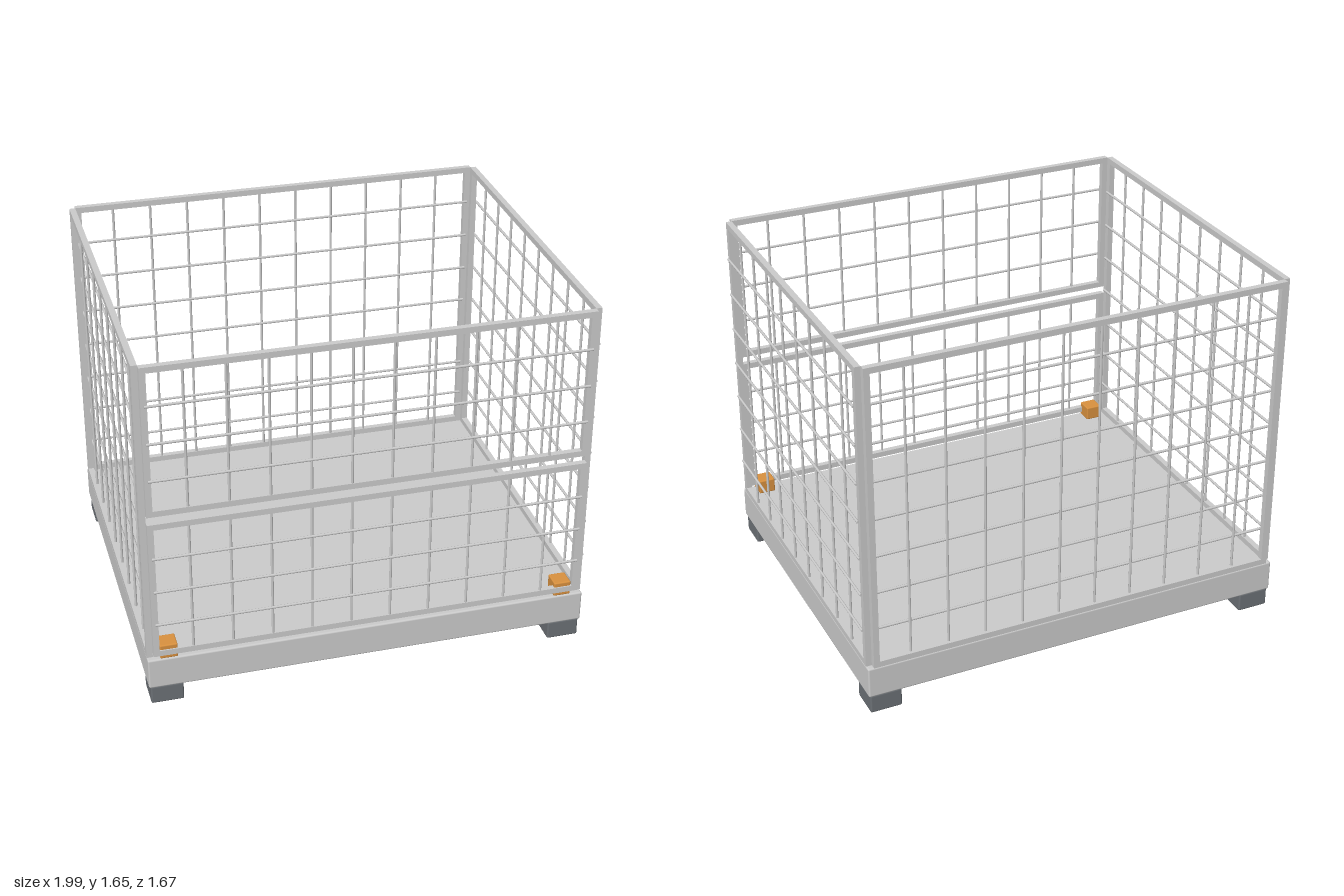
import * as THREE from 'three';
import { RoundedBoxGeometry } from 'three/addons/geometries/RoundedBoxGeometry.js';

const TUBE = 0.027;   // square frame tube
const WIRE = 0.006;   // mesh wire radius
const grey = new THREE.MeshStandardMaterial({ color: 0xcccccc });
const rubber = new THREE.MeshStandardMaterial({ color: 0x6c7176 });
const orange = new THREE.MeshStandardMaterial({ color: 0xd9913f });

function add(parent, name, geometry, material, x, y, z) {
  const mesh = new THREE.Mesh(geometry, material);
  mesh.name = name;
  mesh.position.set(x, y, z);
  parent.add(mesh);
  return mesh;
}

// Upright framed mesh panel in the xy plane, centred in x, standing on y = 0.
// The wires sit towards `face` (+1 or -1) along z.
function meshPanel(name, w, h, cols, rows, face = 1) {
  const g = new THREE.Group();
  g.name = name;
  for (const s of [-1, 1]) {
    add(g, 'framePost', new THREE.BoxGeometry(TUBE, h, TUBE), grey, s * (w - TUBE) / 2, h / 2, 0);
    add(g, 'frameRail', new THREE.BoxGeometry(w - 2 * TUBE, TUBE, TUBE), grey, 0, h / 2 + s * (h - TUBE) / 2, 0);
  }
  const upright = new THREE.CylinderGeometry(WIRE, WIRE, h - TUBE, 8);
  const cross = new THREE.CylinderGeometry(WIRE, WIRE, w - TUBE, 8).rotateZ(Math.PI / 2);
  for (let i = 1; i < cols; i++)
    add(g, 'verticalWire', upright, grey, -w / 2 + (w * i) / cols, h / 2, face * WIRE);
  for (let j = 1; j < rows; j++)
    add(g, 'horizontalWire', cross, grey, 0, (h * j) / rows, face * 3 * WIRE);
  return g;
}

export function createModel() {
  const model = new THREE.Group();
  model.name = 'meshCagePallet';
  const body = new THREE.Group();
  body.name = 'cage';
  body.position.set(-0.005, 0, -0.005);
  model.add(body);

  const W = 1.984, D = 1.66, floor = 0.232, top = 1.646;
  const px = W / 2 - TUBE / 2, pz = D / 2 - TUBE / 2;
  const panelW = W - 2 * TUBE, panelD = D - 2 * TUBE;

  // Platform and feet
  add(body, 'platform', new RoundedBoxGeometry(W, floor - 0.086, D, 2, 0.008), grey, 0, (floor + 0.086) / 2, 0);
  for (const sx of [-1, 1])
    for (const sz of [-1, 1])
      add(body, 'foot', new RoundedBoxGeometry(0.145, 0.088, 0.145, 2, 0.008), rubber, sx * 0.912, 0.044, sz * 0.752);

  // Back and side panels
  const back = meshPanel('backPanel', panelW, top - floor, 11, 8);
  back.position.set(0, floor, -pz);
  body.add(back);
  for (const s of [-1, 1]) {
    const side = meshPanel(s > 0 ? 'leftPanel' : 'rightPanel', panelD, top - floor, 9, 8);
    side.rotation.y = Math.PI / 2;
    side.position.set(s * px, floor, 0);
    body.add(side);
  }

  // Two-part front gate
  for (const [name, y0, y1] of [['lowerGate', 0.25, 0.915], ['upperGate', 0.952, top]]) {
    const gate = meshPanel(name, panelW, y1 - y0, 11, 4);
    gate.position.set(0, y0, pz);
    body.add(gate);
  }

  // Gate hinge blocks
  for (const s of [-1, 1])
    add(body, 'hingeBlock', new RoundedBoxGeometry(0.078, 0.068, 0.08, 2, 0.006), orange, s * 0.897, 0.264, 0.784);

  return model;
}
